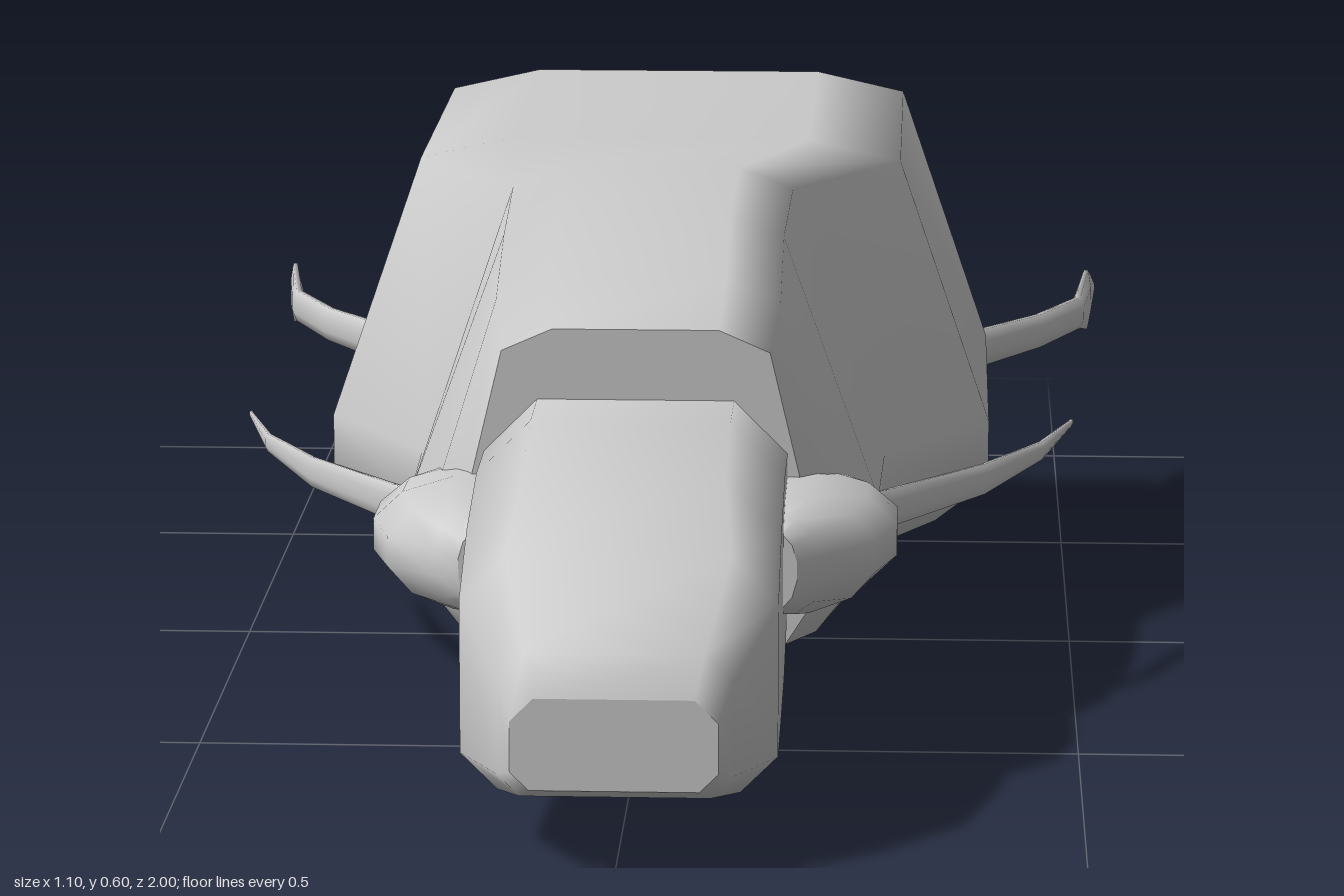
import * as THREE from 'three';

const material = new THREE.MeshStandardMaterial({ color: 0xcccccc, side: THREE.DoubleSide });

// Skins a list of rings (each counter-clockwise seen from the front, ordered front to back) and caps both ends.
function loft(name, rings) {
  const n = rings[0].length;
  const pos = rings.flat(2);
  const index = [];
  for (let i = 0; i < rings.length - 1; i++) {
    for (let j = 0; j < n; j++) {
      const a = i * n + j, b = i * n + (j + 1) % n;
      index.push(a, a + n, b, b, a + n, b + n);
    }
  }
  const cap = (ring, flip) => {
    const base = pos.length / 3;
    pos.push(...ring.flat());
    for (let j = 1; j < n - 1; j++) {
      index.push(base, base + (flip ? j + 1 : j), base + (flip ? j : j + 1));
    }
  };
  cap(rings[0], false);
  cap(rings[rings.length - 1], true);
  const geometry = new THREE.BufferGeometry();
  geometry.setAttribute('position', new THREE.Float32BufferAttribute(pos, 3));
  geometry.setIndex(index);
  geometry.computeVertexNormals();
  const mesh = new THREE.Mesh(geometry, material);
  mesh.name = name;
  return mesh;
}

// Completes a right-hand half outline (bottom to top) by mirroring it.
function mirrored(half, z) {
  const other = half.map(([x, y]) => [-x, y]).reverse();
  return [...half, ...other].map(([x, y]) => [x, y, z]);
}

// Elliptical ring, optionally mirrored to the other side.
function oval(side, [x, y, z, rx, ry], n = 8) {
  const ring = [];
  for (let i = 0; i < n; i++) {
    const a = (i + 0.5) / n * Math.PI * 2, k = 1 / Math.cos(Math.PI / n);
    ring.push([side * (x + rx * k * Math.cos(a)), y + ry * k * Math.sin(a), z]);
  }
  return side > 0 ? ring : ring.reverse();
}

export function createModel() {
  const model = new THREE.Group();
  model.name = 'craft';

  // Hull: z, half width, bottom, top, shoulder half width; the last rings fold into the rear opening
  const hull = [
    [0.54, 0.20, 0.115, 0.50, 0.15],
    [0.48, 0.24, 0.115, 0.545, 0.16],
    [0.35, 0.27, 0.115, 0.595, 0.16],
    [0.13, 0.275, 0.115, 0.61, 0.165],
    [-0.06, 0.40, 0.115, 0.61, 0.29],
    [-0.57, 0.40, 0.115, 0.61, 0.29],
    [-0.62, 0.38, 0.15, 0.585, 0.27],
    [-0.62, 0.355, 0.18, 0.555, 0.25],
    [-0.57, 0.33, 0.20, 0.53, 0.23],
    [-0.30, 0.30, 0.22, 0.50, 0.20],
  ];
  model.add(loft('hull', hull.map(([z, w, b, t, s]) => mirrored([
    [w * 0.62, b], [w * 0.84, b + 0.025], [w, b + 0.075],
    [w, b + 0.15], [s, t - 0.025], [s * 0.62, t],
  ], z))));

  // Head: z, half width, bottom, top, corner size
  const head = [
    [1.0, 0.11, 0.10, 0.20, 0.025],
    [0.98, 0.125, 0.088, 0.245, 0.03],
    [0.90, 0.17, 0.072, 0.33, 0.05],
    [0.79, 0.17, 0.07, 0.39, 0.06],
    [0.65, 0.17, 0.085, 0.42, 0.06],
    [0.50, 0.17, 0.14, 0.42, 0.06],
  ];
  model.add(loft('head', head.map(([z, w, b, t, c]) => mirrored([
    [w - c * 0.8, b], [w, b + c * 0.8], [w, t - c], [w - c, t],
  ], z))));

  // Belly nozzle, hollow at the back: z, half width, bottom
  const belly = [
    [-0.03, 0.20, 0.035],
    [-0.09, 0.235, 0.004],
    [-0.20, 0.24, 0],
    [-0.52, 0.24, 0],
    [-0.52, 0.225, 0.015],
    [-0.25, 0.18, 0.04],
  ];
  model.add(loft('bellyNozzle', belly.map(([z, w, b]) => {
    const h = 0.135 - b;
    return mirrored([
      [w * 0.42, b + h * 0.04], [w * 0.84, b + h * 0.33],
      [w, b + h * 0.67], [w, b + h],
    ], z);
  })));

  // Paired parts: each ring is x, y, z, half width, half height
  const cheek = [
    [0.165, 0.27, 0.72, 0.02, 0.04],
    [0.17, 0.27, 0.70, 0.045, 0.053],
    [0.17, 0.268, 0.64, 0.10, 0.065],
    [0.17, 0.268, 0.56, 0.123, 0.067],
    [0.17, 0.268, 0.47, 0.123, 0.06],
    [0.17, 0.27, 0.42, 0.08, 0.055],
  ];
  const feeler = [
    [0.24, 0.27, 0.46, 0.008, 0.024],
    [0.28, 0.27, 0.42, 0.008, 0.022],
    [0.39, 0.27, 0.27, 0.006, 0.018],
    [0.46, 0.268, 0.11, 0.005, 0.011],
    [0.50, 0.267, -0.05, 0.002, 0.004],
  ];
  const tailFin = [
    [0.37, 0.24, -0.58, 0.012, 0.024],
    [0.40, 0.24, -0.62, 0.012, 0.024],
    [0.47, 0.24, -0.72, 0.010, 0.022],
    [0.525, 0.24, -0.84, 0.009, 0.021],
    [0.538, 0.242, -0.92, 0.007, 0.041],
    [0.55, 0.243, -1.0, 0.002, 0.008],
  ];
  for (const [label, side] of [['left', 1], ['right', -1]]) {
    model.add(loft(label + 'Cheek', cheek.map(r => oval(side, r, 12))));
    model.add(loft(label + 'Feeler', feeler.map(r => oval(side, r))));
    model.add(loft(label + 'TailFin', tailFin.map(r => oval(side, r))));
  }
  return model;
}
